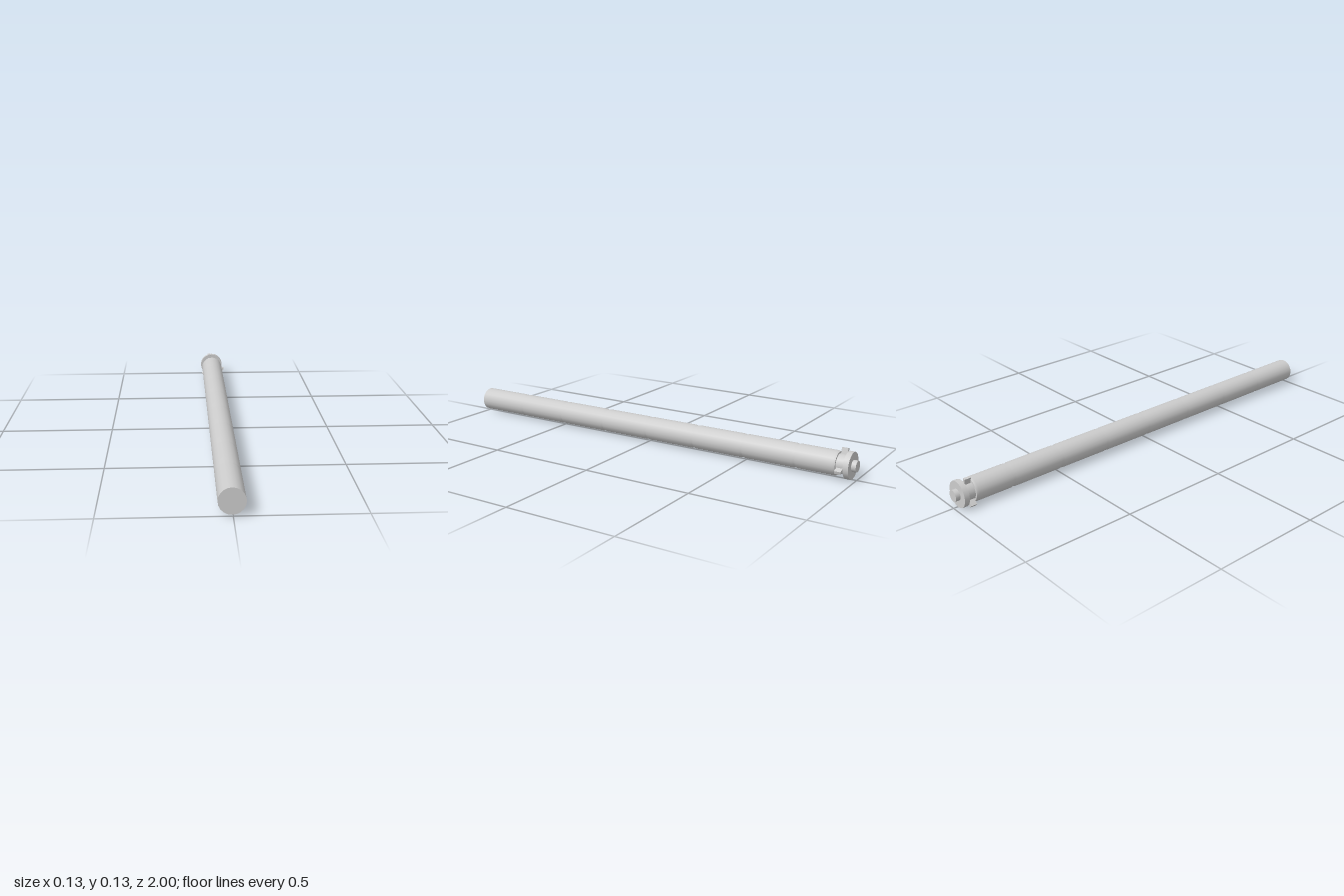
import * as THREE from 'three';

const SIDES = 20;
const R = 0.053; // tube radius

export function createModel() {
  const model = new THREE.Group();
  const grey = new THREE.MeshStandardMaterial({ color: 0xcccccc });
  grey.name = 'light grey';

  // all parts share one axis along z, a little off the centre in x
  const rod = new THREE.Group();
  rod.name = 'rod';
  rod.position.set(-0.004, 0.059, 0);
  model.add(rod);

  const add = (name, geometry, z = 0) => {
    const mesh = new THREE.Mesh(geometry, grey);
    mesh.name = name;
    mesh.position.z = z;
    rod.add(mesh);
    return mesh;
  };
  const drum = (name, radius, z0, z1) =>
    add(name, new THREE.CylinderGeometry(radius, radius, z1 - z0, SIDES).rotateX(Math.PI / 2), (z0 + z1) / 2);

  // segmented tube: shallow grooves at regular steps, rear to front
  const profile = [new THREE.Vector2(R - 0.003, -0.92), new THREE.Vector2(R, -0.91)];
  for (let i = 6; i >= 0; i--) {
    const z = 0.745 - i * 0.247;
    profile.push(
      new THREE.Vector2(R, z - 0.01),
      new THREE.Vector2(R - 0.003, z),
      new THREE.Vector2(R, z + 0.01)
    );
  }
  // short extra step keeps the front end's shading straight
  profile.push(new THREE.Vector2(R, 0.99), new THREE.Vector2(R, 1));
  add('segmentedTube', new THREE.LatheGeometry(profile, SIDES).rotateX(Math.PI / 2));

  // end caps, turned to match the lathe's corners
  add('frontCap', new THREE.CircleGeometry(R, SIDES), 1);
  add('rearCap', new THREE.CircleGeometry(R - 0.003, SIDES).rotateY(Math.PI), -0.92);

  // rear fitting: neck, flange and end knob
  drum('neck', 0.042, -0.96, -0.915);
  drum('flange', 0.0585, -0.98, -0.957);
  drum('endKnob', 0.025, -1, -0.975);

  // three locking lugs around the neck
  for (let i = 0; i < 3; i++) {
    const a = THREE.MathUtils.degToRad(103 + i * 120);
    const lug = add('lockingLug', new THREE.BoxGeometry(0.032, 0.0125, 0.028), -0.938);
    lug.position.x = Math.cos(a) * 0.052;
    lug.position.y = Math.sin(a) * 0.052;
    lug.rotation.z = a;
  }

  return model;
}
